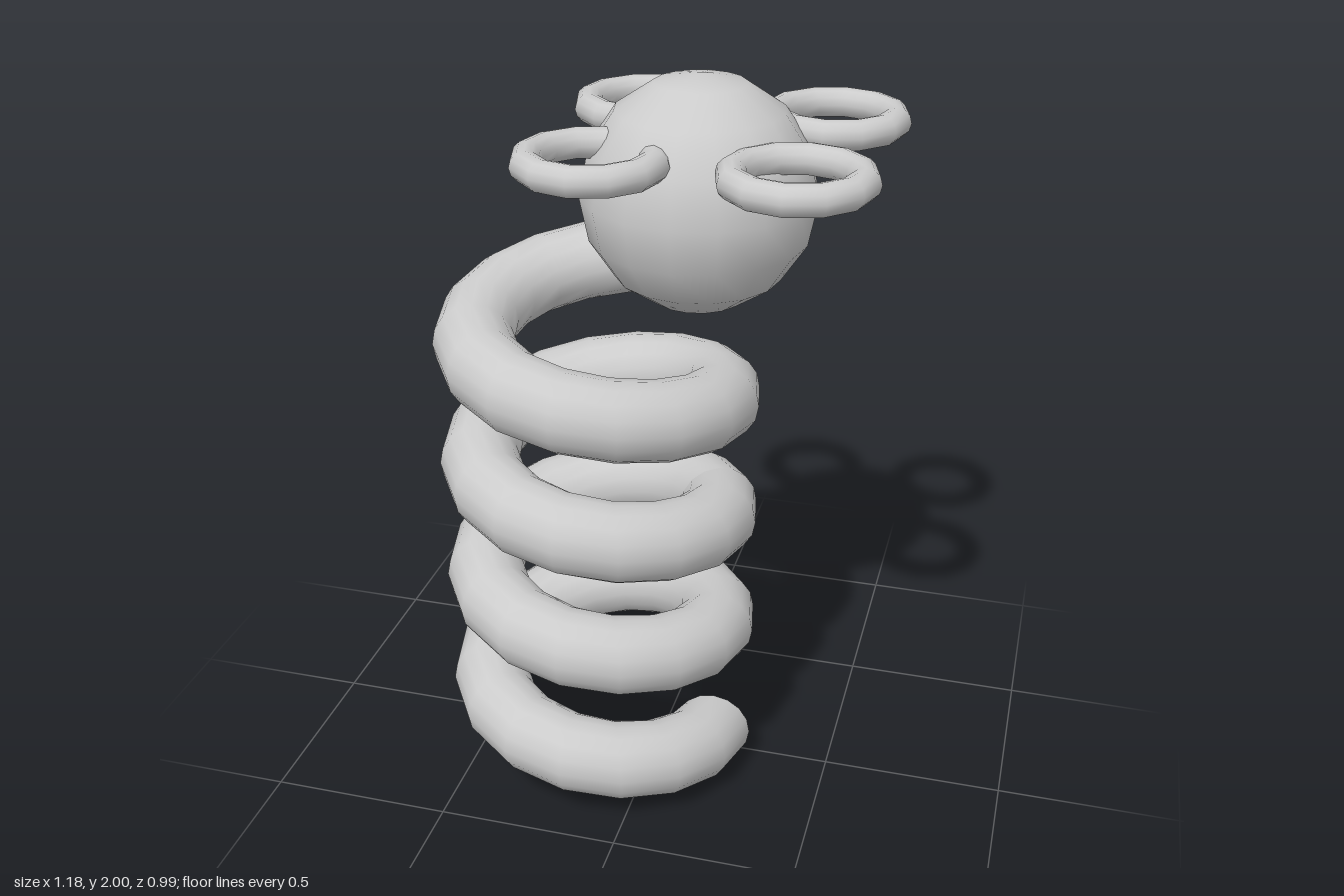
import * as THREE from 'three';

const material = new THREE.MeshStandardMaterial({ color: 0xcccccc });

const STEP = Math.PI / 8; // sixteen segments per turn
const COIL = { x: -0.155, z: 0.055, radius: 0.328, tube: 0.107, pitch: 0.35 };
const SIDES = 16;

// Helical tube with capped ends, running over a range of angular steps
function coilGeometry(from, to) {
  const pos = [];
  const index = [];
  const point = (i, r, t) => {
    const a = i * STEP;
    const d = COIL.radius + r * Math.cos(t);
    const y = COIL.tube + (COIL.pitch * i) / 16 + r * Math.sin(t);
    pos.push(COIL.x + d * Math.cos(a), y, COIL.z + d * Math.sin(a));
  };
  const ring = (i) => {
    for (let j = 0; j < SIDES; j++) point(i, COIL.tube, (j / SIDES) * Math.PI * 2);
  };

  // Tube wall
  for (let i = from; i <= to; i++) ring(i);
  for (let i = 0; i < to - from; i++) {
    for (let j = 0; j < SIDES; j++) {
      const a = i * SIDES + j;
      const b = i * SIDES + ((j + 1) % SIDES);
      index.push(a, b, a + SIDES, b, b + SIDES, a + SIDES);
    }
  }

  // Flat end caps with their own vertices
  for (const [i, isStart] of [[from, true], [to, false]]) {
    const base = pos.length / 3;
    ring(i);
    point(i, 0, 0);
    for (let j = 0; j < SIDES; j++) {
      const a = base + j;
      const b = base + ((j + 1) % SIDES);
      index.push(base + SIDES, isStart ? b : a, isStart ? a : b);
    }
  }

  const geometry = new THREE.BufferGeometry();
  geometry.setAttribute('position', new THREE.Float32BufferAttribute(pos, 3));
  geometry.setIndex(index);
  geometry.computeVertexNormals();
  return geometry;
}

export function createModel() {
  const model = new THREE.Group();
  model.name = 'springFigure';

  const add = (name, geometry, x = 0, y = 0, z = 0) => {
    const mesh = new THREE.Mesh(geometry, material);
    mesh.name = name;
    mesh.position.set(x, y, z);
    model.add(mesh);
  };

  // Spring body in two equal lengths
  add('lowerCoil', coilGeometry(0, 31));
  add('upperCoil', coilGeometry(31, 62));

  // Head
  add('head', new THREE.SphereGeometry(0.308, 16, 8), 0.088, 1.692, -0.047);

  // Four flat rings around the head
  const ringGeometry = new THREE.TorusGeometry(0.158, 0.04, 12, 12).rotateX(Math.PI / 2);
  for (const [side, x] of [['Right', -0.117], ['Left', 0.388]]) {
    for (const [end, z] of [['back', -0.297], ['front', 0.22]]) {
      add(`${end}${side}Ring`, ringGeometry, x, 1.838, z);
    }
  }
  return model;
}
